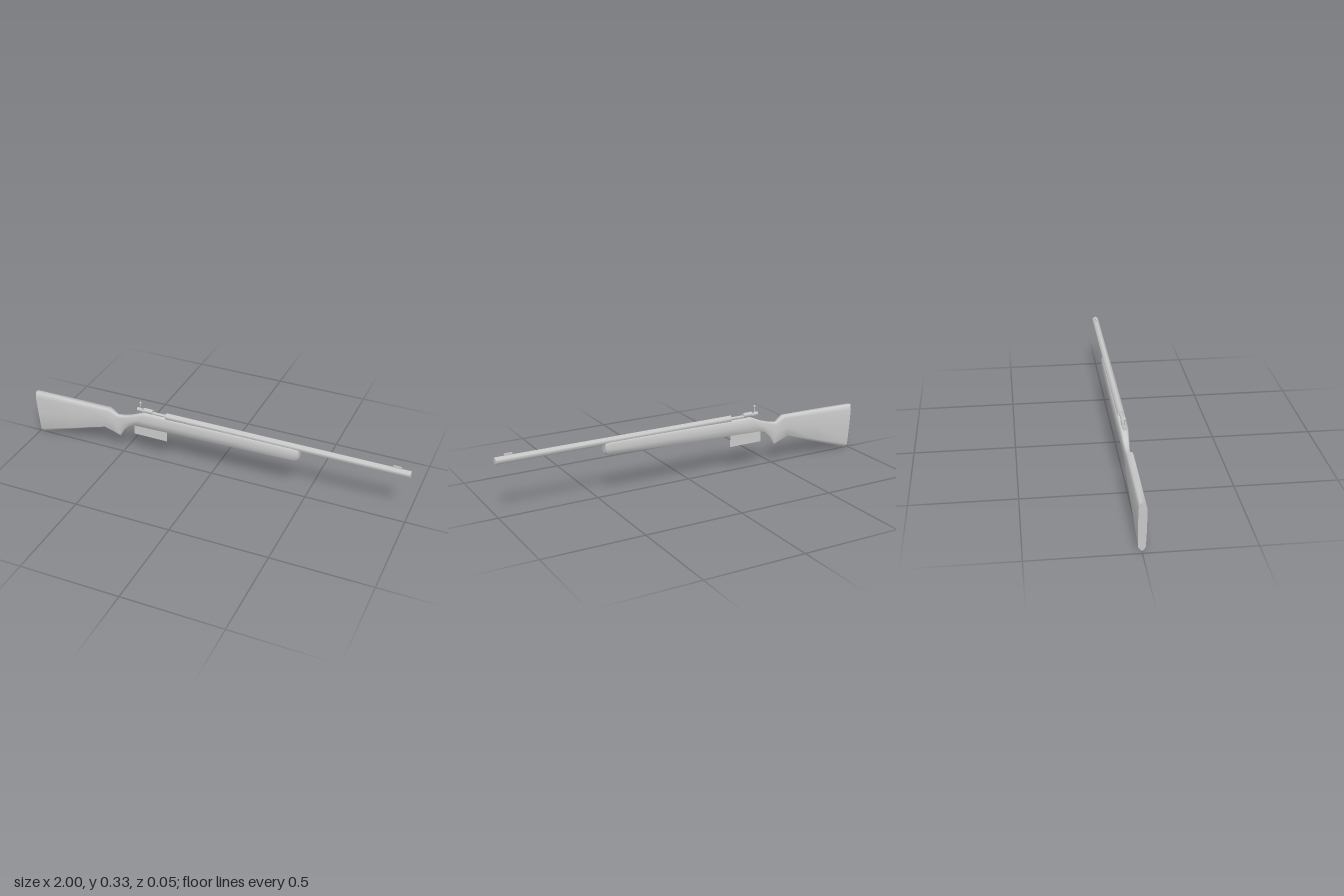
import * as THREE from 'three';

const material = new THREE.MeshStandardMaterial({ color: 0xcccccc });
const thin = new THREE.MeshStandardMaterial({ color: 0xcccccc, side: THREE.DoubleSide });

function add(group, name, geometry, x = 0, y = 0, z = 0, mat = material) {
  const mesh = new THREE.Mesh(geometry, mat);
  mesh.name = name;
  mesh.position.set(x, y, z);
  group.add(mesh);
  return mesh;
}

// Six-sided bar along x, with an edge at the top and bottom
function bar(radius, x0, x1) {
  const g = new THREE.CylinderGeometry(radius, radius, x1 - x0, 6, 1, false, Math.PI / 6);
  return g.rotateZ(-Math.PI / 2).translate((x0 + x1) / 2, 0, 0);
}

// Stock stations: bottom x, bottom y, top x, top y, half width
const stations = [
  [-0.985, 0.003, -1.0, 0.247, 0.019],
  [-0.78, 0.069, -0.78, 0.249, 0.02],
  [-0.595, 0.129, -0.565, 0.25, 0.02],
  [-0.55, 0.112, -0.535, 0.232, 0.015],
  [-0.51, 0.096, -0.52, 0.222, 0.012],
  [-0.485, 0.142, -0.48, 0.227, 0.013],
  [-0.45, 0.175, -0.43, 0.242, 0.016],
  [-0.42, 0.185, -0.36, 0.272, 0.021],
  [-0.24, 0.19, -0.24, 0.274, 0.023],
  [0.1, 0.199, 0.1, 0.278, 0.023],
  [0.43, 0.208, 0.43, 0.279, 0.022],
  [0.45, 0.212, 0.452, 0.278, 0.021],
  [0.46, 0.224, 0.461, 0.276, 0.019],
];

// Cross-section of one half: share of width, share of height
const half = [[0.85, 0.09], [1, 0.5], [0.98, 0.88], [0.6, 1]];

function stockGeometry() {
  const section = [[0, 0], ...half, ...half.map(([w, h]) => [-w, h]).reverse()];
  const n = section.length;
  const rings = stations.map(([xb, yb, xt, yt, w]) => section.map(([sz, sy]) =>
    [xb + (xt - xb) * sy, yb + (yt - yb) * sy, w * sz]));
  const points = rings.flat();
  const index = [];
  for (let i = 0; i < rings.length - 1; i++) {
    for (let j = 0; j < n; j++) {
      const a = i * n + j, b = i * n + (j + 1) % n;
      index.push(a, a + n, b, a + n, b + n, b);
    }
  }
  // End caps have their own corners so their rims stay sharp
  [rings[0], [...rings[rings.length - 1]].reverse()].forEach((ring) => {
    const start = points.length;
    points.push(...ring);
    for (let j = 1; j < n - 1; j++) index.push(start, start + j, start + j + 1);
  });
  const g = new THREE.BufferGeometry();
  g.setAttribute('position', new THREE.Float32BufferAttribute(points.flat(), 3));
  g.setIndex(index);
  g.computeVertexNormals();
  return g;
}

export function createModel() {
  const model = new THREE.Group();
  model.name = 'rifle';

  add(model, 'stock', stockGeometry());
  add(model, 'barrel', bar(0.018, -0.245, 1), 0, 0.281);
  add(model, 'frontSight', new THREE.BoxGeometry(0.04, 0.014, 0.004), 0.935, 0.302);
  add(model, 'magazine', new THREE.PlaneGeometry(0.185, 0.075), -0.3375, 0.1675, 0, thin);

  // Bolt with sleeve and upright handle
  const bolt = new THREE.Group();
  bolt.name = 'bolt';
  add(bolt, 'boltBody', bar(0.008, -0.405, -0.24), 0, 0.281);
  add(bolt, 'boltSleeve', bar(0.013, -0.37, -0.32), 0, 0.287);
  add(bolt, 'boltCollar', bar(0.011, -0.405, -0.38), 0, 0.285);
  add(bolt, 'boltHandle', new THREE.CylinderGeometry(0.0025, 0.0025, 0.036, 6), -0.388, 0.304);
  add(bolt, 'boltKnob', new THREE.SphereGeometry(0.0065, 8, 6), -0.388, 0.325);
  model.add(bolt);

  return model;
}
